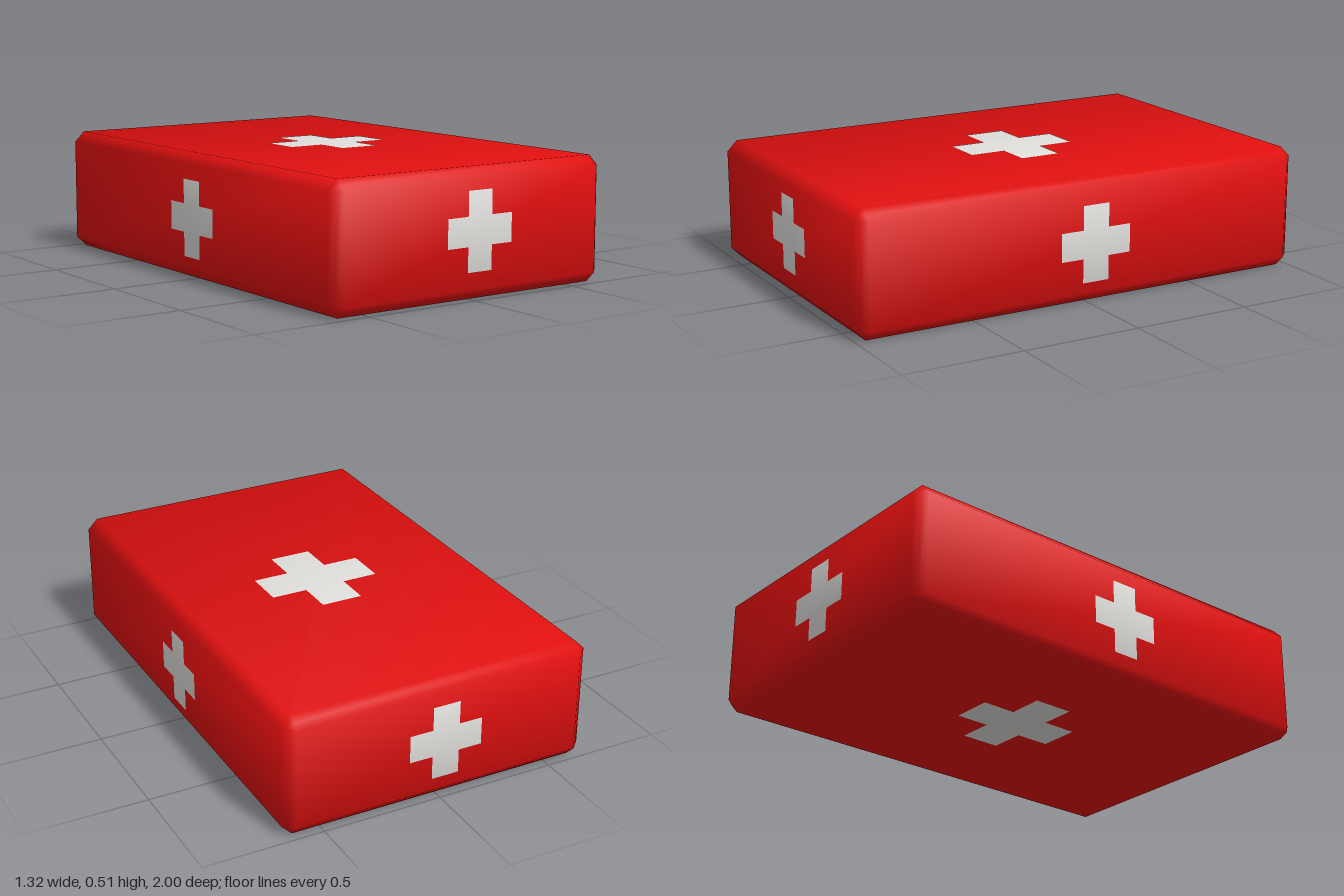
import * as THREE from 'three';

const HALF = [0.658, 0.255, 1]; // half width, height, length
const BEVEL = 0.043;
const TILT = 0.38; // outward lean of the smooth normals at face corners

// Box with bevelled edges and soft shading across the bevels
function bevelledBox() {
  const geo = new THREE.BoxGeometry(...HALF.map((h) => h * 2), 3, 3, 3);
  const pos = geo.attributes.position;
  const nor = geo.attributes.normal;
  const inset = [0, 0, BEVEL / 2, (BEVEL * 2) / 3]; // face, edge, corner points
  const lean = [0, 1, (1 + TILT) / 2, 1];
  for (let i = 0; i < pos.count; i++) {
    const p = [pos.getX(i), pos.getY(i), pos.getZ(i)];
    const outer = p.map((v, a) => Math.abs(v) > HALF[a] * 0.9);
    const k = outer.filter(Boolean).length;
    const q = p.map((v, a) => Math.sign(v) * (HALF[a] - (outer[a] ? inset[k] : BEVEL)));
    const n = new THREE.Vector3(...p.map((v, a) => Math.sign(v) * (outer[a] ? lean[k] : TILT))).normalize();
    pos.setXYZ(i, ...q);
    nor.setXYZ(i, n.x, n.y, n.z);
  }
  return geo;
}

// Flat plus shape, softly shaded like the face (half size hu x hv) beneath it
function crossPlate(size, arm, u, v, hu, hv) {
  const s = size / 2;
  const a = arm / 2;
  const pts = [[a, s], [-a, s], [-a, a], [-s, a], [-s, -a], [-a, -a],
    [-a, -s], [a, -s], [a, -a], [s, -a], [s, a], [a, a]];
  const geo = new THREE.ShapeGeometry(new THREE.Shape(pts.map(([x, y]) => new THREE.Vector2(x + u, y + v))));
  const pos = geo.attributes.position;
  for (let i = 0; i < pos.count; i++) {
    const n = new THREE.Vector3((pos.getX(i) / hu) * TILT, (pos.getY(i) / hv) * TILT, 1).normalize();
    geo.attributes.normal.setXYZ(i, n.x, n.y, n.z);
  }
  return geo;
}

export function createModel() {
  const red = new THREE.MeshStandardMaterial({ color: 0xe00f0f });
  red.name = 'red';
  const white = new THREE.MeshStandardMaterial({ color: 0xe0dfdc });
  white.name = 'white';

  const model = new THREE.Group();
  model.name = 'medicalBox';

  const body = new THREE.Mesh(bevelledBox(), red);
  body.name = 'body';
  body.position.y = HALF[1];
  model.add(body);

  // Crosses: name, turn about x, turn about y, size, arm width, offsets, face half sizes, distance out
  const [w, h, l] = HALF;
  const q = Math.PI / 2;
  const crosses = [
    ['frontCross', 0, 0, 0.313, 0.116, 0.018, 0.012, w, h, l],
    ['backCross', 0, 2 * q, 0.313, 0.116, 0.018, -0.004, w, h, l],
    ['leftCross', 0, q, 0.315, 0.117, 0.026, -0.012, l, h, w],
    ['rightCross', 0, -q, 0.315, 0.117, 0.026, -0.008, l, h, w],
    ['topCross', -q, 0, 0.472, 0.173, 0.026, 0.008, w, l, h],
    ['bottomCross', q, 0, 0.472, 0.173, -0.026, -0.008, w, l, h],
  ];
  for (const [name, rx, ry, size, arm, u, v, hu, hv, out] of crosses) {
    const geo = crossPlate(size, arm, u, v, hu, hv);
    geo.translate(0, 0, out + 0.0015);
    const cross = new THREE.Mesh(geo, white);
    cross.name = name;
    cross.rotation.set(rx, ry, 0);
    cross.position.y = h;
    model.add(cross);
  }
  return model;
}
